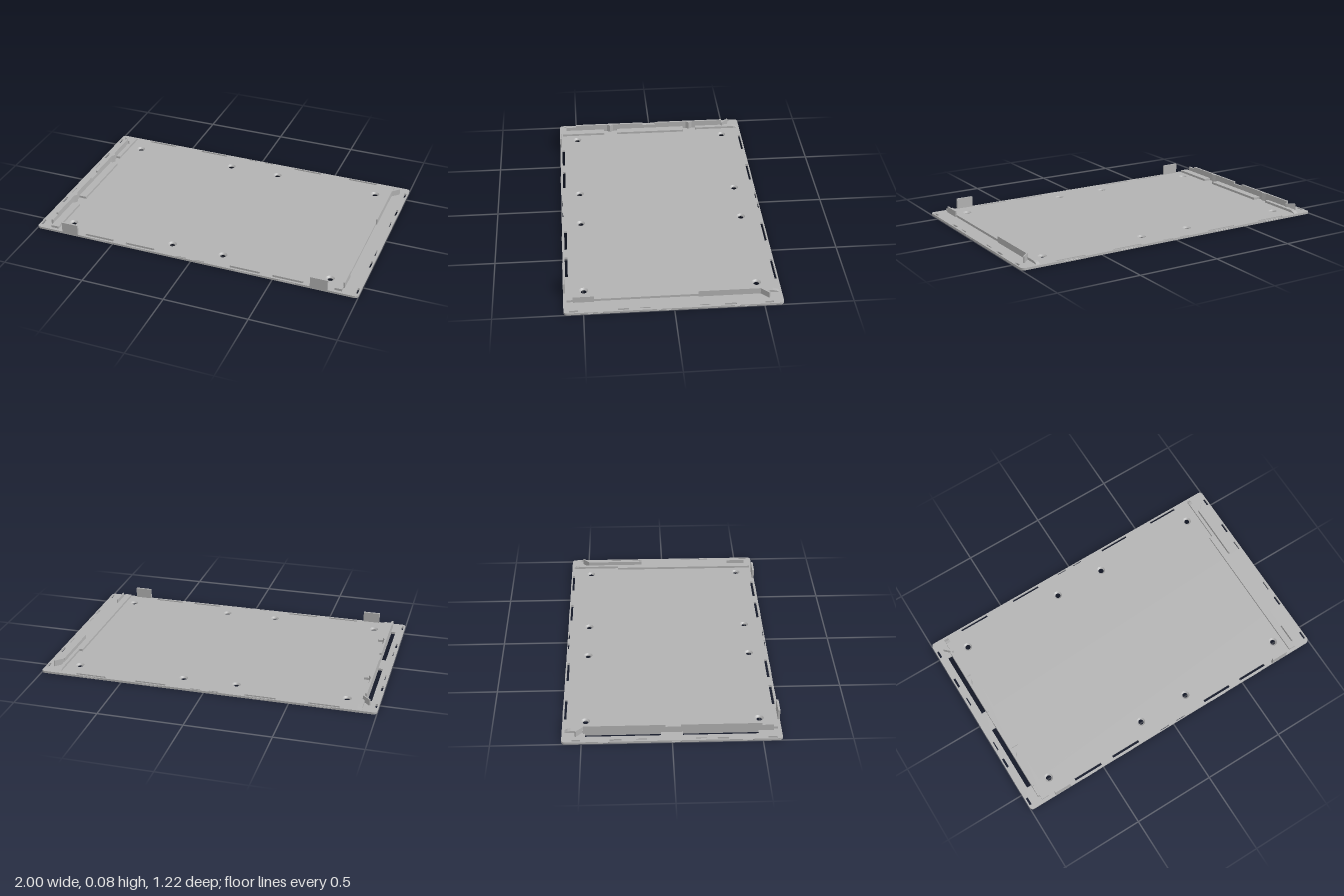
import * as THREE from 'three';

const T = 0.013; // plate thickness

export function createModel() {
  const root = new THREE.Group();
  const gray = new THREE.MeshStandardMaterial({ color: 0xb2b2b2 });
  gray.name = 'plain gray';

  const add = (name, geo) => {
    const m = new THREE.Mesh(geo, gray);
    m.name = name;
    root.add(m);
    return m;
  };
  // Box given by its limits
  const box = (name, x0, x1, y0, y1, z0, z1) =>
    add(name, new THREE.BoxGeometry(x1 - x0, y1 - y0, z1 - z0)
      .translate((x0 + x1) / 2, (y0 + y1) / 2, (z0 + z1) / 2));
  // Side profile of [z, y] points, extruded from x0 to x1
  const profile = (name, x0, x1, pts) => {
    const s = new THREE.Shape(pts.map(([z, y]) => new THREE.Vector2(-z, y)));
    add(name, new THREE.ExtrudeGeometry(s, { depth: x1 - x0, bevelEnabled: false })
      .rotateY(Math.PI / 2).translate(x0, 0, 0));
  };

  // Base plate outline with rounded corners (shape y = -z)
  const w = 1, d = 0.61, r = 0.022;
  const plate = new THREE.Shape();
  plate.absarc(w - r, d - r, r, 0, Math.PI / 2);
  plate.absarc(-w + r, d - r, r, Math.PI / 2, Math.PI);
  plate.absarc(-w + r, -d + r, r, Math.PI, Math.PI * 1.5);
  plate.absarc(w - r, -d + r, r, Math.PI * 1.5, Math.PI * 2);

  const slot = (x0, x1, z0, z1) => plate.holes.push(new THREE.Path([
    [x0, -z0], [x0, -z1], [x1, -z1], [x1, -z0],
  ].map(p => new THREE.Vector2(...p))));

  // Long slots beside the left wall
  slot(-0.952, -0.925, -0.48, -0.06);
  slot(-0.952, -0.925, 0.06, 0.48);

  // Spring slots along front and back, with a snap ridge outside each
  const wedge = (name, len, x, z, angle) => {
    const s = new THREE.Shape([[0, 0.003], [0.004, 0.007], [0, 0.011]].map(p => new THREE.Vector2(...p)));
    const m = add(name, new THREE.ExtrudeGeometry(s, { depth: len, bevelEnabled: false }).translate(0, 0, -len / 2));
    m.position.set(x, 0, z);
    m.rotation.y = angle;
  };
  for (const x of [-0.594, -0.33, 0.325, 0.585]) {
    slot(x - 0.092, x + 0.092, 0.581, 0.597);
    wedge('frontSnap', 0.1, x, 0.608, -Math.PI / 2);
  }
  for (const x of [-0.7, -0.33, 0.325, 0.693]) {
    slot(x - 0.092, x + 0.092, -0.602, -0.588);
    wedge('backSnap', 0.1, x, -0.608, Math.PI / 2);
  }
  for (const x of [-0.06, 0.052]) {
    slot(x - 0.03, x + 0.03, -0.606, -0.598);
    slot(x - 0.03, x + 0.03, 0.6, 0.605);
  }

  // Short slots and snap ridges along both sides
  for (const s of [-1, 1]) {
    for (const [z0, z1] of [[-0.552, -0.505], [-0.345, -0.28], [-0.2, -0.14], [0.13, 0.19], [0.25, 0.312], [0.53, 0.58]]) {
      const narrow = (z0 === -0.2 || z0 === 0.13) ? 0.006 : 0;
      const a = s * 0.979, b = s * (0.992 - narrow);
      slot(Math.min(a, b), Math.max(a, b), z0, z1);
    }
    for (const z of [-0.357, 0.048, 0.437])
      wedge('sideSnap', 0.1, s * 0.997, z, s > 0 ? 0 : Math.PI);
  }

  // Countersunk screw holes
  for (const x of [-0.812, -0.162, 0.157, 0.807]) for (const z of [-0.48, 0.495]) {
    const hole = new THREE.Path();
    hole.absarc(x, -z, 0.026, 0, Math.PI * 2, true);
    plate.holes.push(hole);
    const pts = [[0.026, T], [0.016, 0.005], [0.016, 0], [0.026, 0]].map(p => new THREE.Vector2(...p));
    // split the profile so that its edges stay sharp
    for (let i = 0; i < 3; i++) {
      const g = new THREE.LatheGeometry([pts[i + 1], pts[i]], 24);
      g.index.array.reverse();
      g.computeVertexNormals();
      const n = g.attributes.normal, p = g.attributes.position;
      // keep faces turned to the hole axis, or down for the bottom ring
      const out = i === 2 ? -n.getY(5) : -(n.getX(5) * p.getX(5) + n.getZ(5) * p.getZ(5));
      if (out < 0) { g.index.array.reverse(); g.computeVertexNormals(); }
      add('screwSeat', g).position.set(x, 0, z);
    }
  }

  add('basePlate', new THREE.ExtrudeGeometry(plate, { depth: T, bevelEnabled: false, curveSegments: 12 })
    .rotateX(-Math.PI / 2));

  // Upright tabs at the front edge
  box('frontTab', -0.83, -0.727, 0.005, 0.076, 0.598, 0.61);
  box('frontTab', 0.722, 0.825, 0.005, 0.076, 0.598, 0.61);

  // Left wall with raised segments
  profile('leftWall', -0.925, -0.913, [
    [0.565, 0.01], [0.565, 0.05], [0.5, 0.05], [0.5, 0.063], [0.05, 0.063], [0.05, 0.05],
    [-0.035, 0.05], [-0.035, 0.063], [-0.49, 0.063], [-0.49, 0.01],
  ]);
  // Small clip ribs on the left wall
  for (const z of [-0.265, 0.27]) {
    const rib = new THREE.Shape([[-0.914, -z - 0.022], [-0.9, -z], [-0.914, -z + 0.022]].map(p => new THREE.Vector2(...p)));
    add('clipRib', new THREE.ExtrudeGeometry(rib, { depth: 0.053, bevelEnabled: false })
      .rotateX(-Math.PI / 2).translate(0, 0.01, 0));
  }
  // Left ledges, the back one tapering down
  const L = 0.027;
  profile('leftBackLedge', -0.916, -0.888, [[-0.31, 0.01], [-0.31, L], [-0.56, L], [-0.578, 0.023], [-0.595, T], [-0.595, 0.01]]);
  box('leftMiddleLedge', -0.914, -0.866, 0.01, L, -0.225, 0.225);
  box('leftFrontLedge', -0.914, -0.866, 0.01, L, 0.312, 0.59);

  // Right ledge and its two wall pieces
  profile('rightBackLedge', 0.882, 0.904, [[-0.3, 0.01], [-0.3, L], [-0.56, L], [-0.578, 0.023], [-0.595, T], [-0.595, 0.01]]);
  box('rightLedge', 0.862, 0.904, 0.01, L, -0.3, 0.592);
  box('rightBackWall', 0.901, 0.91, 0.01, 0.05, -0.49, -0.14);
  box('rightFrontWall', 0.901, 0.91, 0.01, 0.05, 0.44, 0.557);

  // Slanted gussets at the back corners
  for (const s of [-1, 1]) {
    const g = add('cornerGusset', new THREE.BoxGeometry(0.063, 0.04, 0.008));
    g.position.set(s * 0.927, 0.03, -0.512);
    g.rotation.y = s * Math.PI / 4;
  }
  return root;
}
